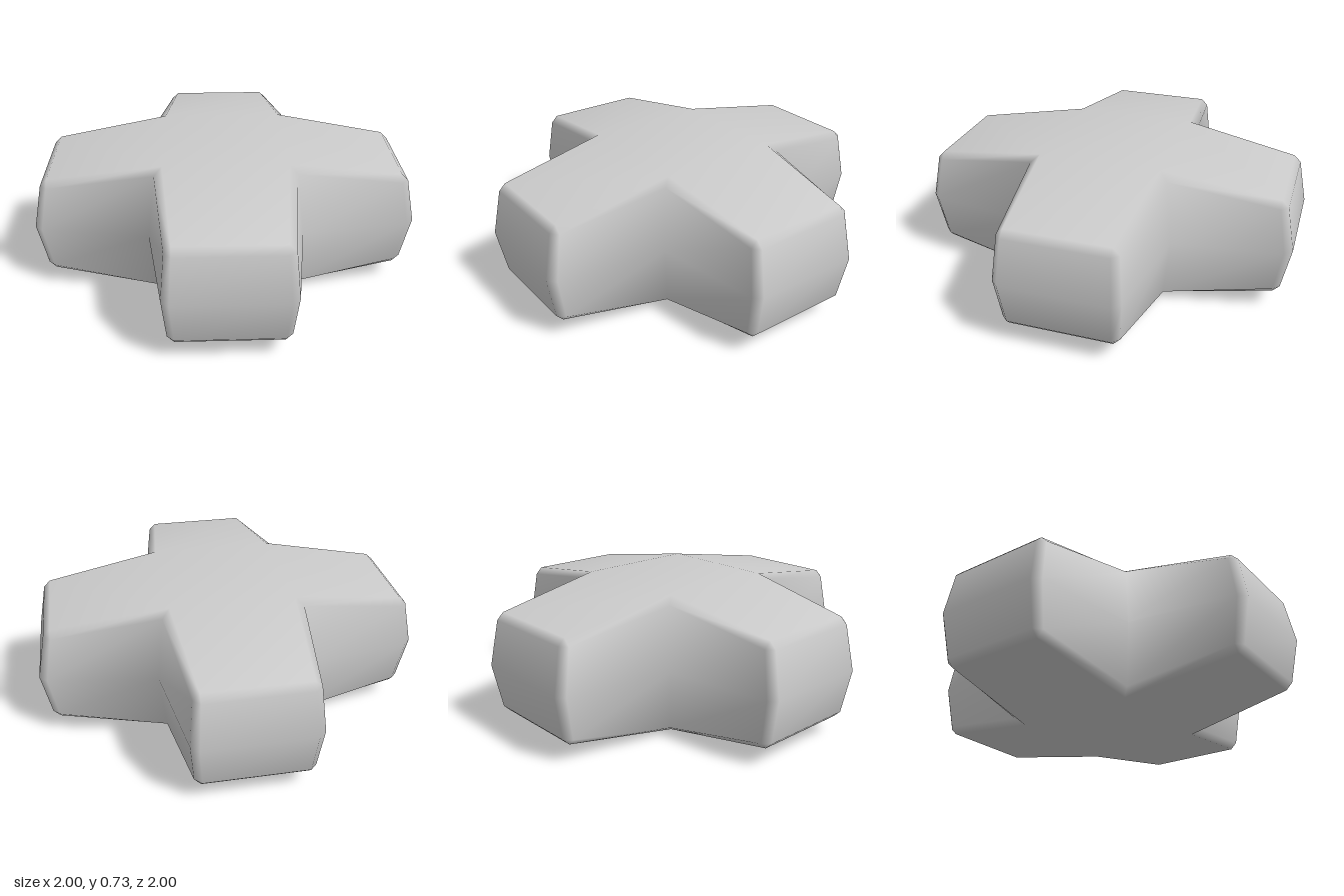
import * as THREE from 'three';
import { mergeVertices } from 'three/addons/utils/BufferGeometryUtils.js';

const HEIGHT = 0.725;

// One level of the cross outline: inner corner, arm side and arm end points,
// each [x, z] for the +z arm, with heights at the inner corner and at the tip.
const MIDDLE = { inner: 0.4, side: [0.32, 0.96], end: [0.28, 1], yInner: 0.3625, yTip: 0.3625 };
const SHOULDER = { inner: 0.363, side: [0.3, 0.92], end: [0.265, 0.955], yInner: 0.69, yTip: 0.595 };
const RIM = { inner: 0.323, side: [0.265, 0.92], end: [0.265, 0.92], yInner: HEIGHT, yTip: 0.63 };

const flip = (l) => ({ ...l, yInner: HEIGHT - l.yInner, yTip: HEIGHT - l.yTip });

// Twenty points: five per arm, repeated at quarter turns.
function ring(level) {
  const { inner, side, end, yInner, yTip } = level;
  const arm = [
    [inner, yInner, inner],
    [side[0], yTip, side[1]],
    [end[0], yTip, end[1]],
    [-end[0], yTip, end[1]],
    [-side[0], yTip, side[1]],
  ];
  const points = [];
  for (let k = 0; k < 4; k++) {
    for (const p of arm) {
      let [x, y, z] = p;
      for (let t = 0; t < k; t++) [x, z] = [-z, x];
      points.push([x, y, z]);
    }
  }
  return points;
}

function crossGeometry() {
  const rings = [flip(RIM), flip(SHOULDER), MIDDLE, SHOULDER, RIM].map(ring);
  const n = rings[0].length;
  const index = [];
  const quad = (a, b, c, d) => index.push(a, b, c, a, c, d);

  // Bevelled walls between neighbouring levels
  for (let r = 0; r < rings.length - 1; r++) {
    for (let i = 0; i < n; i++) {
      const j = (i + 1) % n;
      quad(r * n + j, r * n + i, (r + 1) * n + i, (r + 1) * n + j);
    }
  }

  // Top and bottom: a centre square and four sloping arms
  const top = (rings.length - 1) * n;
  const cap = (a, b, c, d) => {
    quad(top + a, top + b, top + c, top + d);
    quad(d, c, b, a);
  };
  cap(0, 15, 10, 5);
  for (let k = 0; k < n; k += 5) cap(k + 4, k + 1, k, (k + 5) % n);

  const geometry = new THREE.BufferGeometry();
  geometry.setAttribute('position', new THREE.Float32BufferAttribute(rings.flat(2), 3));
  geometry.setIndex(index);
  const merged = mergeVertices(geometry, 1e-4);
  merged.computeVertexNormals();
  return merged;
}

export function createModel() {
  const model = new THREE.Group();
  model.name = 'crossBlock';
  const body = new THREE.Mesh(crossGeometry(), new THREE.MeshStandardMaterial({ color: 0xcccccc }));
  body.name = 'crossBody';
  model.add(body);
  return model;
}
